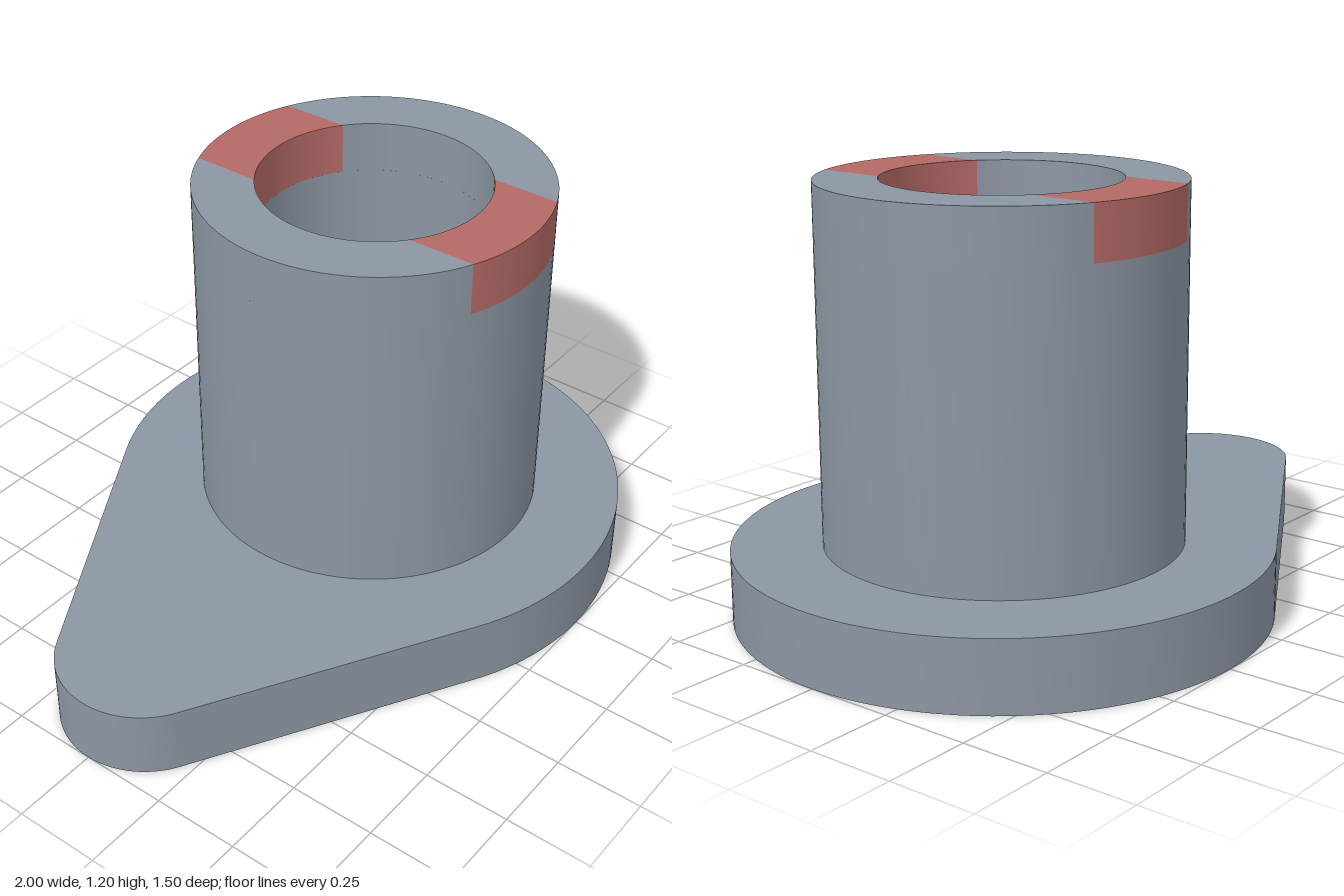
import * as THREE from 'three';
import { toCreasedNormals } from 'three/addons/utils/BufferGeometryUtils.js';

const CX = 0.25;      // sleeve axis
const BORE = 0.327;   // bore radius
const OUTER = 0.5;    // sleeve radius
const SLOT = 0.2;     // half width of the coloured inserts

export function createModel() {
  const steel = new THREE.MeshStandardMaterial({ color: 0x8c96a3 });
  steel.name = 'steel grey';
  const red = new THREE.MeshStandardMaterial({ color: 0xb46a66 });
  red.name = 'dull red';

  const model = new THREE.Group();
  model.name = 'flangedSleeve';

  // Extrude a plan outline upward from y0 to y1
  function addPart(name, shape, y0, y1, material) {
    const extruded = new THREE.ExtrudeGeometry(shape, {
      depth: y1 - y0, bevelEnabled: false, curveSegments: 48,
    });
    extruded.rotateX(-Math.PI / 2).translate(0, y0, 0);
    extruded.clearGroups();
    const mesh = new THREE.Mesh(toCreasedNormals(extruded, 0.4), material);
    mesh.name = name;
    model.add(mesh);
  }

  function withBore(shape) {
    shape.holes.push(new THREE.Path().absarc(CX, 0, BORE, 0, Math.PI * 2, true));
    return shape;
  }

  // Piece of the ring wall between parallel cuts, centred on a direction
  function wallPiece(middle, outerHalf, innerHalf) {
    const s = new THREE.Shape();
    s.absarc(CX, 0, OUTER, middle - outerHalf, middle + outerHalf, false);
    s.absarc(CX, 0, BORE, middle + innerHalf, middle - innerHalf, true);
    s.closePath();
    return s;
  }

  // Teardrop flange: two arcs joined by 30 degree tangents
  const flange = new THREE.Shape();
  const tangent = Math.PI * 2 / 3;
  flange.absarc(CX, 0, 0.75, -tangent, tangent, false);
  flange.absarc(-0.75, 0, 0.25, tangent, Math.PI * 2 - tangent, false);
  flange.closePath();
  addPart('flange', withBore(flange), 0, 0.2, steel);

  // Sleeve up to the inserts
  const ring = new THREE.Shape().absarc(CX, 0, OUTER, 0, Math.PI * 2, false);
  addPart('sleeve', withBore(ring), 0.2, 1.05, steel);

  // Rim: grey walls at the sides, red inserts at front and back
  const outerCut = Math.asin(SLOT / OUTER);
  const innerCut = Math.asin(SLOT / BORE);
  const quarter = Math.PI / 2;
  for (const side of [0, Math.PI]) {
    const left = side === 0;
    addPart(left ? 'leftRim' : 'rightRim',
      wallPiece(side, quarter - outerCut, quarter - innerCut), 1.05, 1.2, steel);
    addPart(left ? 'backInsert' : 'frontInsert',
      wallPiece(side + quarter, outerCut, innerCut), 1.05, 1.2, red);
  }
  return model;
}
